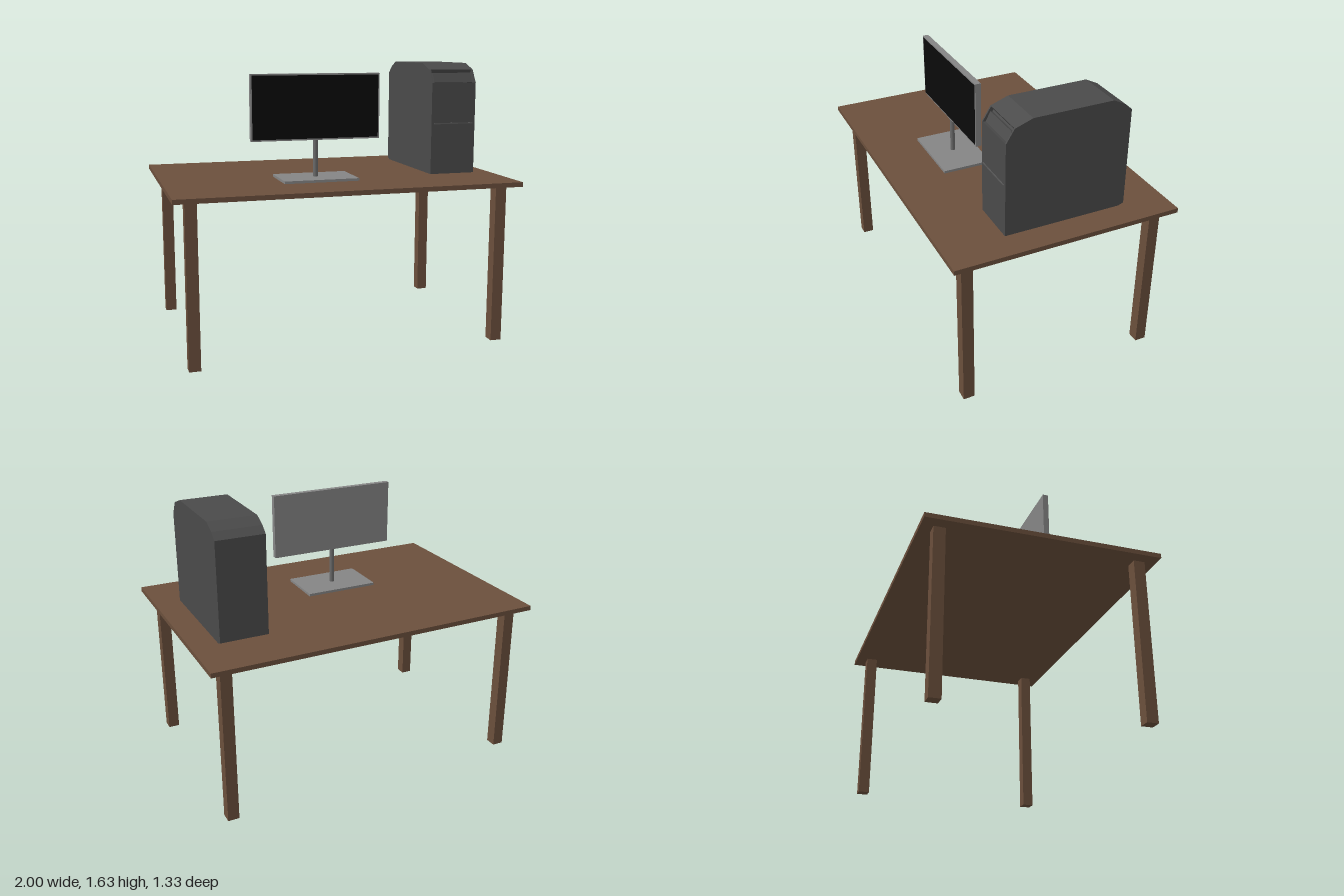
import * as THREE from 'three';

const material = (color) => new THREE.MeshStandardMaterial({ color, flatShading: true });

// Box given by its limits on each axis
function box(name, [x0, x1], [y0, y1], [z0, z1], mat) {
  const mesh = new THREE.Mesh(new THREE.BoxGeometry(x1 - x0, y1 - y0, z1 - z0), mat);
  mesh.position.set((x0 + x1) / 2, (y0 + y1) / 2, (z0 + z1) / 2);
  mesh.name = name;
  return mesh;
}

// Side profile of [z, y] points swept from x0 to x1
function sideExtrude(name, points, x0, x1, mat) {
  const shape = new THREE.Shape(points.map(([z, y]) => new THREE.Vector2(z, y)));
  const geo = new THREE.ExtrudeGeometry(shape, { depth: x1 - x0, bevelEnabled: false });
  geo.rotateY(-Math.PI / 2).translate(x1, 0, 0);
  const mesh = new THREE.Mesh(geo, mat);
  mesh.name = name;
  return mesh;
}

function createTable() {
  const table = new THREE.Group();
  table.name = 'table';
  const wood = material(0x6b4f3c);
  table.add(box('tableTop', [-1, 1], [0.935, 0.962], [-0.666, 0.666], wood));
  for (const sx of [-1, 1]) for (const sz of [-1, 1]) {
    const leg = box('tableLeg', [-0.033, 0.033], [0, 0.935], [-0.033, 0.033], wood);
    leg.position.x = sx * 0.898;
    leg.position.z = sz * 0.567;
    table.add(leg);
  }
  return table;
}

function createMonitor() {
  const monitor = new THREE.Group();
  monitor.name = 'monitor';
  const grey = material(0x858585);
  monitor.add(box('monitorBase', [-0.331, 0.116], [0.962, 0.977], [0.055, 0.35], grey));
  const pole = new THREE.Mesh(new THREE.CylinderGeometry(0.014, 0.014, 0.225, 16), material(0x6a6a6a));
  pole.material.flatShading = false;
  pole.position.set(-0.108, 1.087, 0.203);
  pole.name = 'monitorPole';
  monitor.add(pole);
  monitor.add(box('monitorCase', [-0.496, 0.28], [1.193, 1.577], [0.188, 0.222], grey));
  monitor.add(box('screen', [-0.487, 0.271], [1.202, 1.568], [0.215, 0.224], material(0x0a0a0a)));
  return monitor;
}

function createComputer() {
  const computer = new THREE.Group();
  computer.name = 'computerTower';
  const dark = material(0x4a4a4a);
  const x0 = 0.575, x1 = 0.855, wall = 0.01;

  // Outline with bevelled corners, split at the front slope for the bay
  const rest = [[0.17, 1.63], [-0.29, 1.63], [-0.36, 1.595], [-0.402, 1.558],
    [-0.402, 0.988], [-0.37, 0.976], [0.318, 0.976]];
  const slope = [[0.318, 1.517], [0.27, 1.594]];
  const bay = [[0.318, 1.517], [0.305, 1.519], [0.278, 1.572], [0.27, 1.594]];
  const recess = [slope[0], [0.294, 1.511], [0.257, 1.574], slope[1]];

  computer.add(sideExtrude('towerBody', [...recess, ...rest], x0 + wall, x1 - wall, dark));
  computer.add(sideExtrude('towerSide', [...slope, ...rest], x0, x0 + wall, dark));
  computer.add(sideExtrude('towerSide', [...slope, ...rest], x1 - wall, x1, dark));

  // Drive bay cover set into the sloped recess
  computer.add(sideExtrude('driveBay',
    [bay[1], bay[2], [0.264, 1.565], [0.29, 1.515]], x0 + 0.018, x1 - 0.018, dark));

  // Thin ledge across the front panel
  computer.add(box('frontLedge', [x0 + 0.015, x1 - 0.015], [1.274, 1.281], [0.312, 0.321], material(0x5a5a5a)));
  return computer;
}

export function createModel() {
  const model = new THREE.Group();
  model.name = 'computerDesk';
  model.add(createTable(), createMonitor(), createComputer());
  return model;
}
